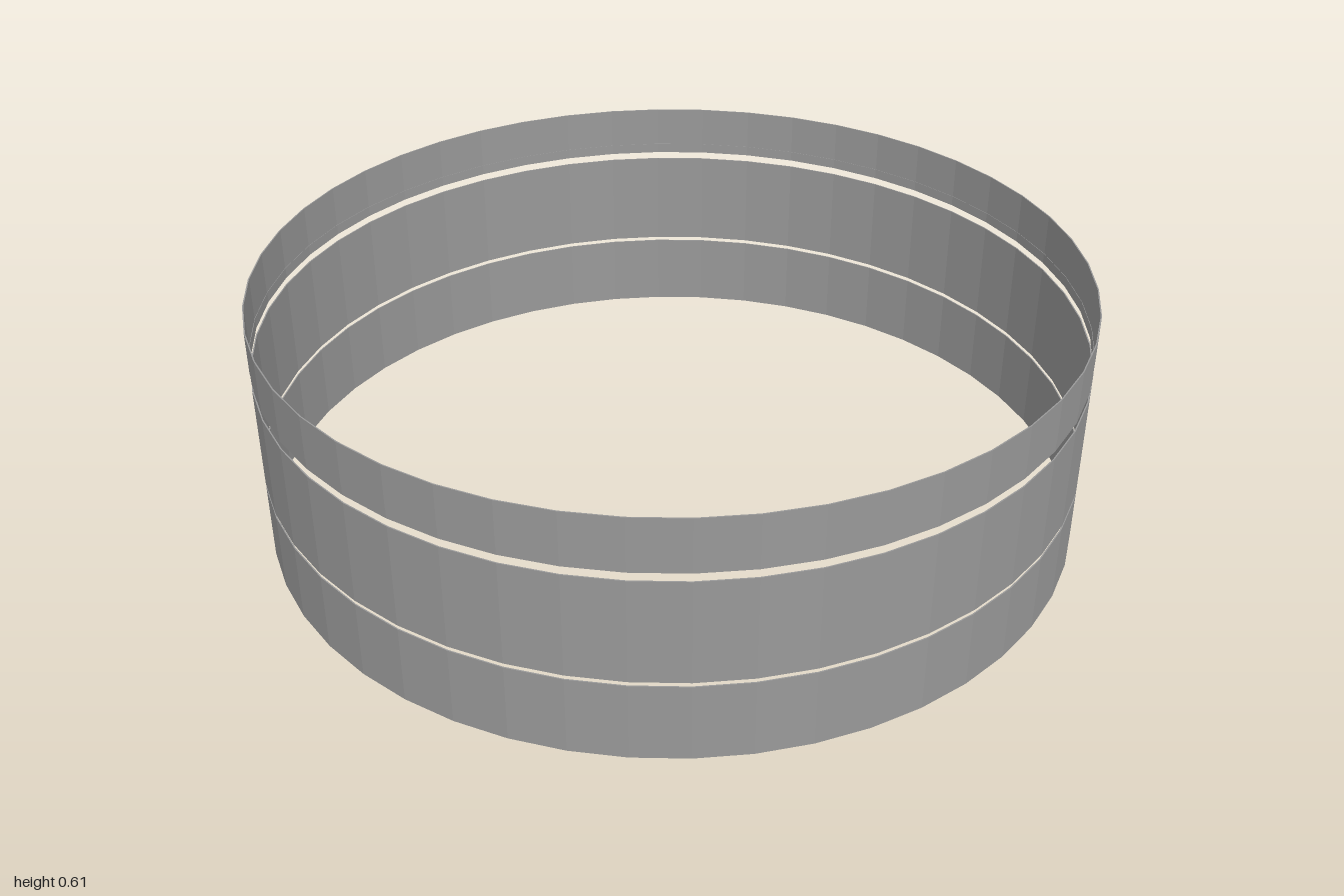
import * as THREE from 'three';

const SEGMENTS = 48;
const WALL = 0.003;

// Thin-walled hoop between two heights, turned from a closed rectangular profile
function band(name, bottom, top, radius, material) {
  const inner = radius - WALL;
  const profile = [
    [inner, bottom], [radius, bottom], [radius, top], [inner, top], [inner, bottom],
  ].map(([r, y]) => new THREE.Vector2(r, y));
  const mesh = new THREE.Mesh(new THREE.LatheGeometry(profile, SEGMENTS), material);
  mesh.name = name;
  return mesh;
}

export function createModel() {
  const group = new THREE.Group();
  group.name = 'bandedRing';
  const material = new THREE.MeshStandardMaterial({ color: 0x999999, flatShading: true });

  // Stacked hoops separated by narrow gaps; the top one has a slightly recessed lower rim
  const bands = [
    ['lowerBand', 0, 0.193, 1],
    ['middleBand', 0.204, 0.459, 1],
    ['upperBandRim', 0.479, 0.505, 0.999],
    ['upperBand', 0.505, 0.61, 1],
  ];
  for (const [name, bottom, top, radius] of bands) {
    group.add(band(name, bottom, top, radius, material));
  }

  return group;
}
